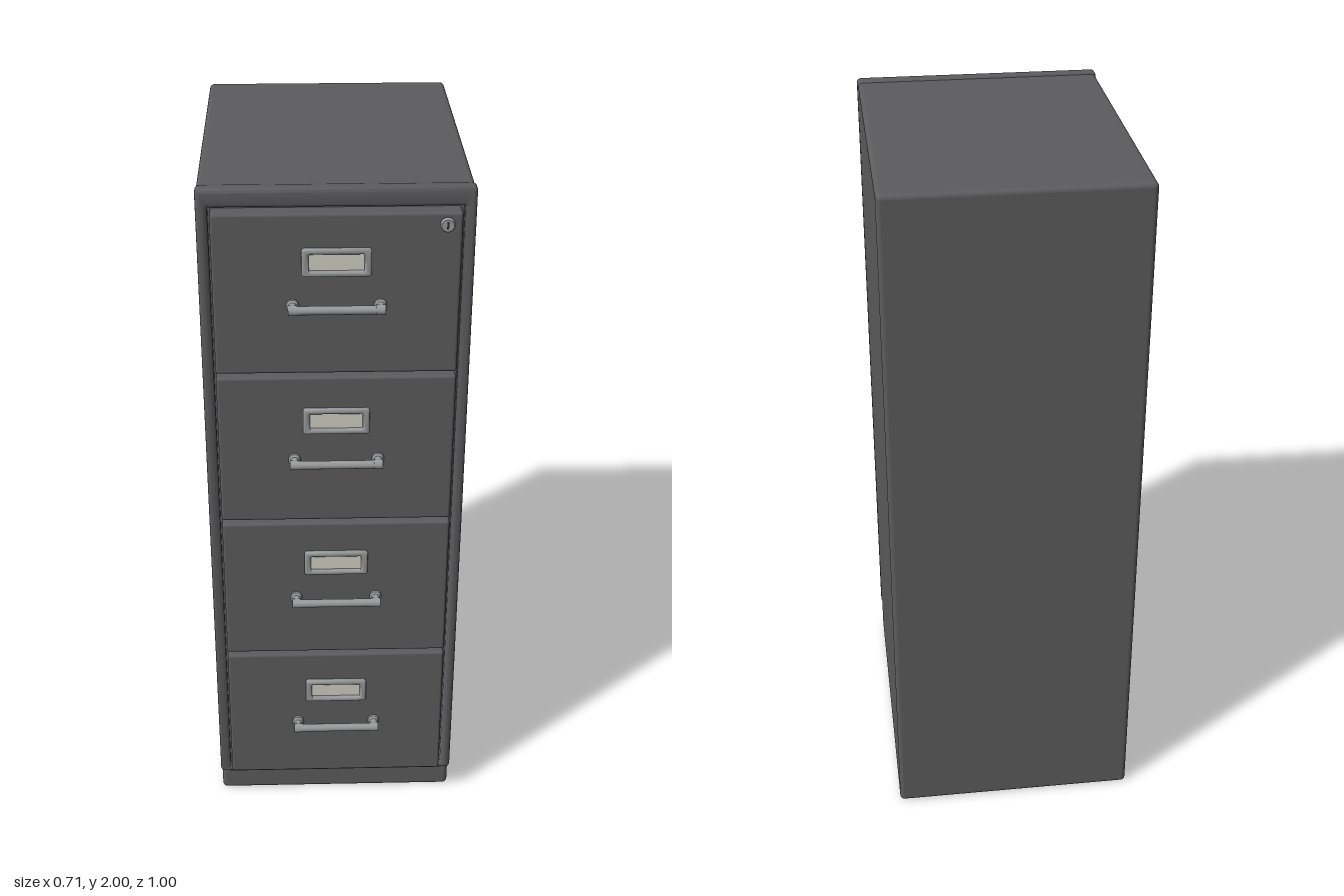
import * as THREE from 'three';
import { RoundedBoxGeometry } from 'three/addons/geometries/RoundedBoxGeometry.js';
import { toCreasedNormals } from 'three/addons/utils/BufferGeometryUtils.js';

const material = (name, color) => {
  const m = new THREE.MeshStandardMaterial({ color });
  m.name = name;
  return m;
};

// Rounded rectangle outline centred on (0, cy)
function roundedRect(Type, w, h, r, cy = 0) {
  const x = w / 2, b = cy - h / 2, t = cy + h / 2;
  const s = new Type();
  s.moveTo(-x + r, b);
  s.lineTo(x - r, b);
  s.absarc(x - r, b + r, r, -Math.PI / 2, 0);
  s.absarc(x - r, t - r, r, 0, Math.PI / 2);
  s.absarc(-x + r, t - r, r, Math.PI / 2, Math.PI);
  s.absarc(-x + r, b + r, r, Math.PI, Math.PI * 1.5);
  return s;
}

// Bevelled plate from z = 0 to z = depth
function plate(shape, depth, bevel) {
  const g = new THREE.ExtrudeGeometry(shape, {
    depth: depth - 2 * bevel, bevelEnabled: true, bevelSize: bevel, bevelThickness: bevel,
    bevelOffset: -bevel, bevelSegments: 3, curveSegments: 5,
  });
  g.translate(0, 0, bevel);
  return toCreasedNormals(g, 0.7);
}

// Round part turned about the z axis, from [radius, z] points
function turned(points) {
  const g = new THREE.LatheGeometry(points.map(([r, y]) => new THREE.Vector2(r, y)), 20);
  g.rotateX(Math.PI / 2);
  return toCreasedNormals(g, 0.7);
}

export function createModel() {
  const paint = material('grey paint', 0x5c5c5e);
  const metal = material('brushed metal', 0x98999a);
  const paper = material('label paper', 0xcfcfc3);
  const dark = material('keyhole', 0x2a2a2b);
  const model = new THREE.Group();
  model.name = 'filingCabinet';

  function add(parent, name, geometry, mat, x = 0, y = 0, z = 0) {
    const mesh = new THREE.Mesh(geometry, mat);
    mesh.name = name;
    mesh.position.set(x, y, z);
    parent.add(mesh);
    return mesh;
  }

  // Cabinet shell, including the set-back plinth
  add(model, 'body', new RoundedBoxGeometry(0.708, 1.996, 0.903, 4, 0.014), paint, 0, 0.998, -0.0485);

  // Raised front frame around the drawers
  const frame = roundedRect(THREE.Shape, 0.712, 1.903, 0.012, 1.0485);
  frame.holes.push(roundedRect(THREE.Path, 0.652, 1.84, 0.004, 1.03));
  add(model, 'frontFrame', plate(frame, 0.044, 0.01), paint, 0, 0, 0.392);

  // Shared drawer parts
  const drawerGeo = new RoundedBoxGeometry(0.64, 0.448, 0.056, 3, 0.008);
  const holderShape = roundedRect(THREE.Shape, 0.18, 0.076, 0.008);
  holderShape.holes.push(roundedRect(THREE.Path, 0.142, 0.046, 0.003));
  const holderGeo = plate(holderShape, 0.016, 0.005);
  const labelGeo = new THREE.BoxGeometry(0.148, 0.052, 0.006);
  const postGeo = turned([[0, 0], [0.017, 0], [0.017, 0.008], [0.012, 0.013], [0.012, 0.036]]);
  const barGeo = new THREE.CapsuleGeometry(0.0115, 0.232, 5, 16);
  barGeo.rotateZ(Math.PI / 2);
  const collarGeo = new THREE.CylinderGeometry(0.0135, 0.0135, 0.024, 20);
  collarGeo.rotateZ(Math.PI / 2);

  for (let i = 0; i < 4; i++) {
    const drawer = new THREE.Group();
    drawer.name = 'drawer' + (i + 1);
    drawer.position.set(0, 0.335 + i * 0.46, 0.452);
    model.add(drawer);
    add(drawer, 'drawerFront', drawerGeo, paint, 0, 0, -0.028);
    add(drawer, 'labelHolder', holderGeo, metal, 0, 0.096, -0.001);
    add(drawer, 'labelCard', labelGeo, paper, 0, 0.096, 0.002);
    add(drawer, 'handleBar', barGeo, metal, 0, -0.025, 0.0355);
    for (const side of [-1, 1]) {
      add(drawer, 'handlePost', postGeo, metal, side * 0.114, -0.025, -0.001);
      add(drawer, 'handleCollar', collarGeo, metal, side * 0.114, -0.025, 0.0345);
    }
  }

  // Lock in the upper corner of the top drawer
  const lock = new THREE.Group();
  lock.name = 'lock';
  lock.position.set(0.28, 1.91, 0.451);
  model.add(lock);
  add(lock, 'lockCylinder', turned([[0.014, 0], [0.014, 0.004], [0.019, 0.006],
    [0.019, 0.014], [0.016, 0.018], [0, 0.018]]), metal);
  add(lock, 'keySlot', new THREE.BoxGeometry(0.005, 0.018, 0.002), dark, 0, 0, 0.018);

  return model;
}
